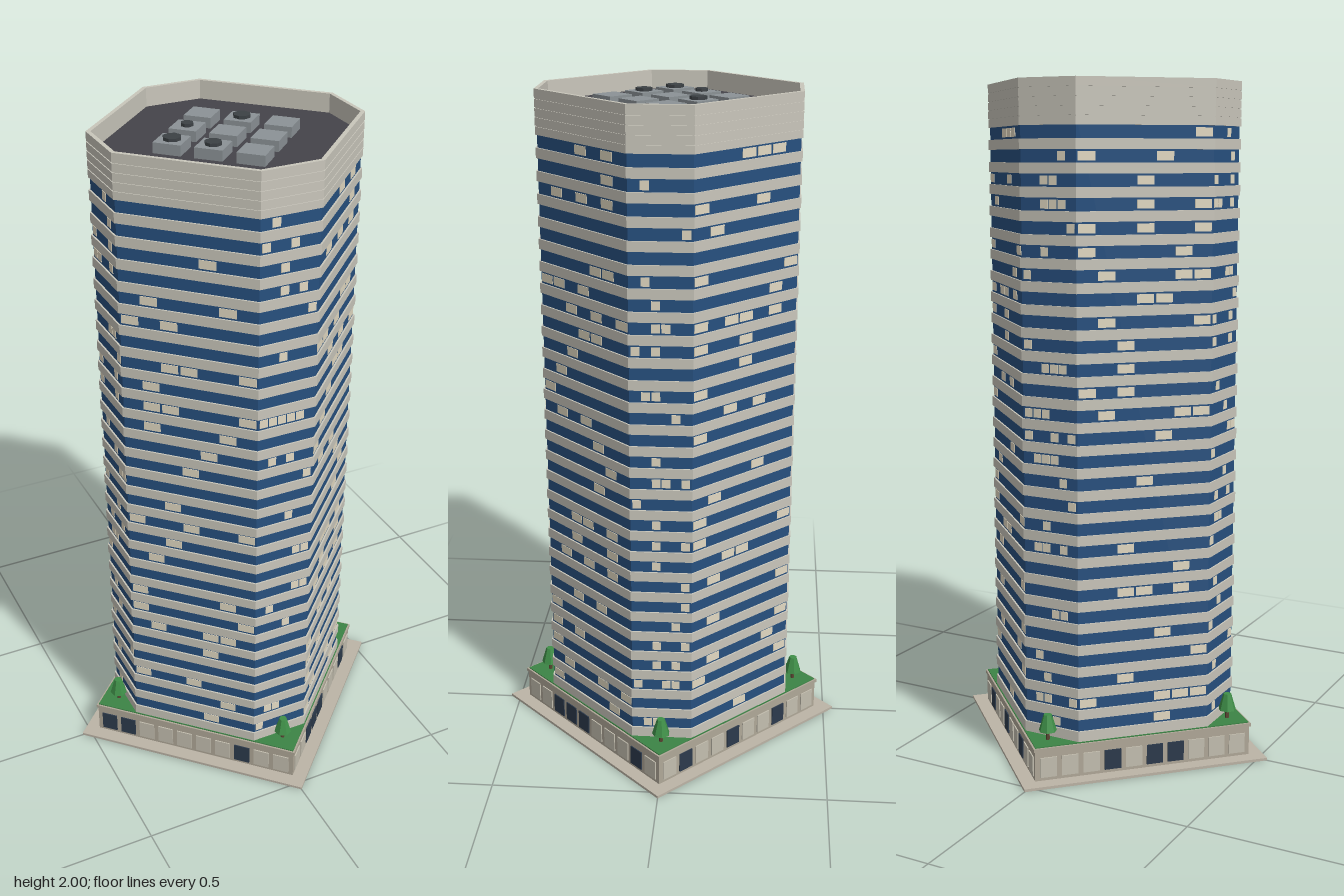
import * as THREE from 'three';

const mat = (color) => new THREE.MeshStandardMaterial({ color, flatShading: true });

// Polygon outlines: diamond with |x|+|z| <= r, octagon with axis faces at a and half width b
const diamond = (r) => [[r, 0], [0, r], [-r, 0], [0, -r]];
const octagon = (a, b) => [[a, -b], [a, b], [b, a], [-b, a], [-a, b], [-a, -b], [-b, -a], [b, -a]];
const toPoints = (list) => list.map(([x, y]) => new THREE.Vector2(x, y));

// Vertical prism from y0 to y1, with an optional hole
function prism(outline, y0, y1, hole) {
  const shape = new THREE.Shape(toPoints(outline));
  if (hole) shape.holes.push(new THREE.Path(toPoints(hole)));
  const geo = new THREE.ExtrudeGeometry(shape, { depth: y1 - y0, bevelEnabled: false });
  geo.rotateX(-Math.PI / 2);
  geo.translate(0, y0, 0);
  return geo;
}

function seeded(seed) {
  let s = seed;
  return () => {
    s = (s * 16807) % 2147483647;
    return s / 2147483647;
  };
}

export function createModel() {
  const model = new THREE.Group();
  const m = {
    paving: mat(0xbcb4a6), podium: mat(0xb0a898), pane: mat(0xc4bfb0), darkPane: mat(0x2c3a4c),
    grass: mat(0x3c8446), trunk: mat(0x5a4632), leaf: mat(0x3f8f48), stone: mat(0xc9c6bb),
    glass: mat(0x27507f), lit: mat(0xe2d9c2), roof: mat(0x45444a), unit: mat(0x8b9296), fan: mat(0x3c4145),
  };
  const add = (parent, name, geo, material, x = 0, y = 0, z = 0) => {
    const mesh = new THREE.Mesh(geo, material);
    mesh.name = name;
    mesh.position.set(x, y, z);
    parent.add(mesh);
    return mesh;
  };

  // Pavement and podium
  add(model, 'pavement', prism(diamond(0.53), 0, 0.008), m.paving);
  add(model, 'podium', prism(diamond(0.47), 0.008, 0.1), m.podium);
  add(model, 'podiumCornice', prism(diamond(0.476), 0.098, 0.108), m.podium);
  add(model, 'podiumLawn', prism(diamond(0.468), 0.108, 0.111), m.grass);

  // Shopfront panes on the four podium walls
  const darkPanes = [[2, 3, 4, 8], [1, 4, 7], [3, 5, 6], [0, 1, 7]];
  const paneGeo = new THREE.BoxGeometry(0.05, 0.06, 0.005);
  darkPanes.forEach((dark, k) => {
    const wall = new THREE.Group();
    wall.name = 'shopfront';
    wall.rotation.y = Math.PI / 4 + k * Math.PI / 2;
    for (let i = 0; i < 10; i++) {
      add(wall, 'shopPane', paneGeo, dark.includes(i) ? m.darkPane : m.pane,
        (i - 4.5) * 0.065, 0.048, 0.47 / Math.SQRT2 + 0.001);
    }
    model.add(wall);
  });

  // A tree at each podium corner
  const trunkGeo = new THREE.CylinderGeometry(0.005, 0.006, 0.04, 6);
  const crownGeo = new THREE.CylinderGeometry(0.012, 0.027, 0.05, 7);
  for (let k = 0; k < 4; k++) {
    const tree = new THREE.Group();
    tree.name = 'tree';
    tree.position.set(Math.round(Math.sin(k * Math.PI / 2)) * 0.397, 0.11, Math.round(Math.cos(k * Math.PI / 2)) * 0.397);
    add(tree, 'treeTrunk', trunkGeo, m.trunk, 0, 0.02, 0);
    add(tree, 'treeCrown', crownGeo, m.leaf, 0, 0.053, 0);
    model.add(tree);
  }

  // Glass core wrapped by a stone band on every floor
  const A = 0.374, B = 0.09, floors = 27, pitch = 0.0652, firstGlass = 0.142, glassH = 0.036;
  const bandOutline = octagon(A, B), glassOutline = octagon(A - 0.005, B - 0.002);
  add(model, 'glassCore', prism(glassOutline, 0.11, 1.9), m.glass);
  add(model, 'baseBand', prism(bandOutline, 0.111, firstGlass), m.stone);
  const bandGeo = prism(bandOutline, 0, pitch - glassH);
  for (let f = 0; f < floors - 1; f++) {
    add(model, 'floorBand', bandGeo, m.stone, 0, firstGlass + f * pitch + glassH, 0);
  }

  // Scattered lit windows on the eight faces
  const rand = seeded(4711);
  for (let k = 0; k < 8; k++) {
    const axis = k % 2 === 0;
    const slots = axis ? 6 : 7;
    const step = axis ? 0.028 : 0.0565;
    const dist = axis ? A - 0.005 : (A + B - 0.007) / Math.SQRT2;
    const litGeo = new THREE.BoxGeometry(step * 0.88, 0.025, 0.003);
    const face = new THREE.Group();
    face.name = 'litWindows';
    face.rotation.y = k * Math.PI / 4;
    for (let f = 0; f < floors; f++) {
      for (let i = 0; i < slots; i++) {
        if (rand() > 0.2) continue;
        add(face, 'litWindow', litGeo, m.lit, (i - (slots - 1) / 2) * step, firstGlass + f * pitch + glassH / 2, dist);
      }
    }
    model.add(face);
  }

  // Crown of stacked courses, hollow above the roof deck
  const inner = octagon(A - 0.012, B - 0.005);
  const crownY = firstGlass + (floors - 1) * pitch + glassH;
  const course = (2 - crownY) / 5;
  add(model, 'crownBacking', prism(octagon(A - 0.003, B - 0.001), crownY, 1.998, inner), m.stone);
  for (let i = 0; i < 5; i++) {
    const y = crownY + i * course;
    add(model, 'crownCourse', prism(bandOutline, y, y + course - (i < 4 ? 0.003 : 0), inner), m.stone);
  }
  add(model, 'roofDeck', prism(octagon(A - 0.011, B - 0.004), 1.9, 1.945), m.roof);

  // Three by three grid of rooftop units, four of them with fans
  const units = new THREE.Group();
  units.name = 'rooftopUnits';
  units.rotation.y = Math.PI / 4;
  const unitGeo = new THREE.BoxGeometry(0.079, 0.03, 0.079);
  const fanRadius = { '-1,-1': 0.026, '0,-1': 0.018, '1,0': 0.025, '-1,0': 0.024 };
  for (let i = -1; i <= 1; i++) {
    for (let j = -1; j <= 1; j++) {
      const x = i * 0.117, z = j * 0.117;
      add(units, 'rooftopUnit', unitGeo, m.unit, x, 1.96, z);
    }
  }
  model.add(units);
  for (const [x, z, r] of [[0.083, -0.083, 0.025], [-0.083, -0.083, 0.018], [-0.165, 0, 0.026], [-0.083, 0.083, 0.024]]) {
    add(model, 'rooftopFan', new THREE.CylinderGeometry(r, r, 0.01, 8), m.fan, x, 1.979, z);
  }
  return model;
}
